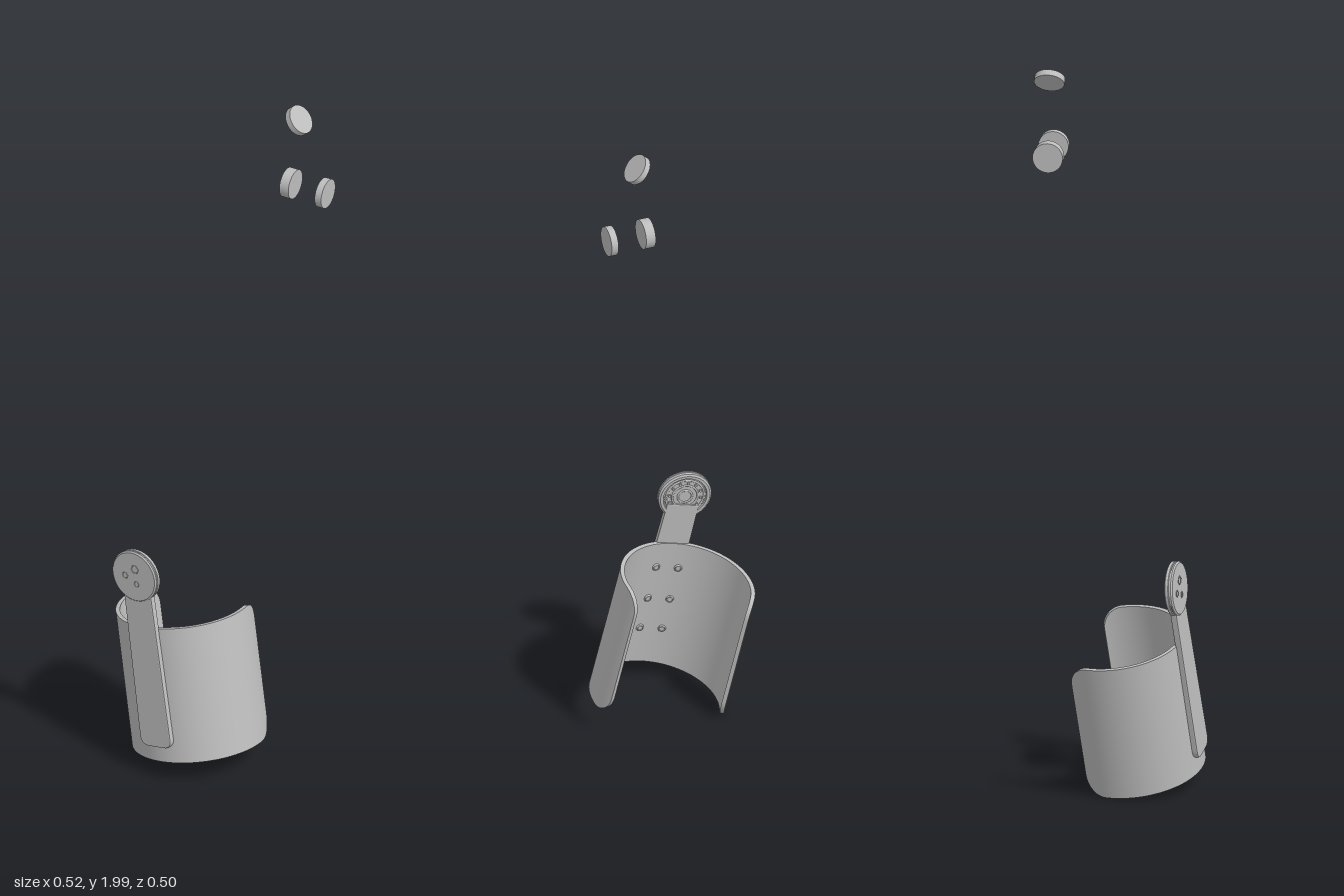
import * as THREE from 'three';
import { mergeGeometries, toCreasedNormals } from 'three/addons/utils/BufferGeometryUtils.js';

const grey = new THREE.MeshStandardMaterial({ color: 0xbdbdbd });
grey.name = 'plain grey';

function part(name, geometry, parent) {
  const mesh = new THREE.Mesh(geometry, grey);
  mesh.name = name;
  parent.add(mesh);
  return mesh;
}

// Strip of quads between two rows of points, smooth along its length
function ribbon(lower, upper) {
  const n = lower.length, index = [];
  for (let i = 0; i < n - 1; i++) index.push(i, i + 1, n + i + 1, i, n + i + 1, n + i);
  const g = new THREE.BufferGeometry().setFromPoints([...lower, ...upper]);
  g.setIndex(index);
  g.computeVertexNormals();
  return g;
}

// Open C-shaped sleeve with rounded corners at both free ends
function cuffGeometry(inner, outer, height, start, end, corner) {
  const angles = [], inset = [], c = corner / outer, steps = 12;
  for (let i = 0; i <= steps; i++) {
    const t = (i / steps) * Math.PI / 2;
    angles.push(start + c * (1 - Math.cos(t)));
    inset.push(corner * (1 - Math.sin(t)));
  }
  for (let i = 1; i < 60; i++) {
    angles.push(start + c + (end - start - 2 * c) * i / 60);
    inset.push(0);
  }
  for (let i = steps; i >= 0; i--) {
    angles.push(start + end - angles[i]);
    inset.push(inset[i]);
  }
  const row = (r, top) => angles.map((a, i) =>
    new THREE.Vector3(r * Math.sin(a), top ? height - inset[i] : inset[i], r * Math.cos(a)));
  const ob = row(outer, false), ot = row(outer, true), ib = row(inner, false), it = row(inner, true);
  const n = angles.length - 1;
  return mergeGeometries([
    ribbon(ob, ot), ribbon(ot, it), ribbon(it, ib), ribbon(ib, ob),
    ribbon([ob[n], ib[n]], [ot[n], it[n]]),
    ribbon([ib[0], ob[0]], [it[0], ot[0]]),
  ]);
}

// Flat strap, rounded at the foot and slightly narrower at the top
function strapGeometry() {
  const s = new THREE.Shape(), w = 0.052, r = 0.028, y0 = 0.045;
  s.moveTo(-w + r, y0);
  s.lineTo(w - r, y0);
  s.quadraticCurveTo(w, y0, w, y0 + r);
  s.lineTo(0.046, 0.53);
  s.lineTo(-0.046, 0.53);
  s.lineTo(-w, y0 + r);
  s.quadraticCurveTo(-w, y0, -w + r, y0);
  return new THREE.ExtrudeGeometry(s, {
    depth: 0.012, bevelEnabled: true, bevelSize: 0.003, bevelThickness: 0.003,
    bevelOffset: -0.003, bevelSegments: 2, curveSegments: 8,
  });
}

export function createModel() {
  const model = new THREE.Group();
  model.name = 'cuffWithMagnets';

  // Leaning cuff assembly, origin at the middle of the lower rim
  const brace = new THREE.Group();
  brace.name = 'cuffAssembly';
  brace.position.set(0.006, 0.05, 0.055);
  brace.rotation.set(-0.115, 0, 0.19);
  model.add(brace);
  const deg = Math.PI / 180;
  part('cuff', cuffGeometry(0.178, 0.19, 0.4, -128 * deg, 111 * deg, 0.06), brace);

  // Rivets on the inside, two columns of three
  for (const side of [-1, 1]) for (const y of [0.115, 0.215, 0.32]) {
    const a = -0.15 + side * 0.18;
    const rivet = new THREE.Group();
    rivet.name = 'rivet';
    rivet.position.set(0.178 * Math.sin(a), y, 0.178 * Math.cos(a));
    rivet.rotation.y = a;
    brace.add(rivet);
    part('rivetHead', new THREE.CylinderGeometry(0.013, 0.01, 0.007, 20).rotateX(Math.PI / 2), rivet);
    part('rivetRing', new THREE.TorusGeometry(0.008, 0.0018, 6, 20), rivet).position.z = -0.0035;
  }

  // Strap and its round head
  const arm = new THREE.Group();
  arm.name = 'strapAssembly';
  arm.rotation.y = -0.15;
  brace.add(arm);
  part('strap', strapGeometry(), arm).position.z = 0.183;

  const head = new THREE.Group();
  head.name = 'strapHead';
  head.position.set(0, 0.556, 0.192);
  arm.add(head);
  const profile = [[0, -0.008], [0.06, -0.008], [0.062, -0.012], [0.07, -0.012], [0.075, -0.008],
    [0.075, 0], [0.072, 0.001], [0.072, 0.003], [0.075, 0.004], [0.075, 0.008], [0.071, 0.012], [0, 0.012]];
  const disc = new THREE.LatheGeometry(profile.map(p => new THREE.Vector2(...p)), 56).rotateX(Math.PI / 2);
  part('headDisc', toCreasedNormals(disc, 0.5), head);

  // Small raised outlines on the front of the head
  for (const [x, y, r] of [[0.006, 0.022, 0.012], [-0.03, 0, 0.009], [0.006, -0.022, 0.008]]) {
    part('frontMark', new THREE.TorusGeometry(r, 0.0016, 6, 6), head).position.set(x, y, 0.012);
  }

  // Concentric rings and studs on the back of the head
  for (const r of [0.02, 0.036, 0.054]) {
    part('backRing', new THREE.TorusGeometry(r, 0.003, 8, 48), head).position.z = -0.008;
  }
  for (let i = 0; i < 12; i++) {
    const a = i * Math.PI / 6;
    part('backStud', new THREE.CylinderGeometry(0.004, 0.004, 0.006, 10).rotateX(Math.PI / 2), head)
      .position.set(0.045 * Math.cos(a), 0.045 * Math.sin(a), -0.009);
  }

  // Loose round magnets: x, y, thickness, tilt
  for (const [x, y, t, tilt] of [[0.169, 1.963, 0.018, -0.855],
    [0.144, 1.75, 0.028, Math.PI / 2], [0.25, 1.75, 0.02, Math.PI / 2]]) {
    const magnet = part('magnet', new THREE.CylinderGeometry(0.042, 0.042, t, 48), model);
    magnet.position.set(x, y, -0.213);
    magnet.rotation.z = tilt;
  }
  return model;
}
